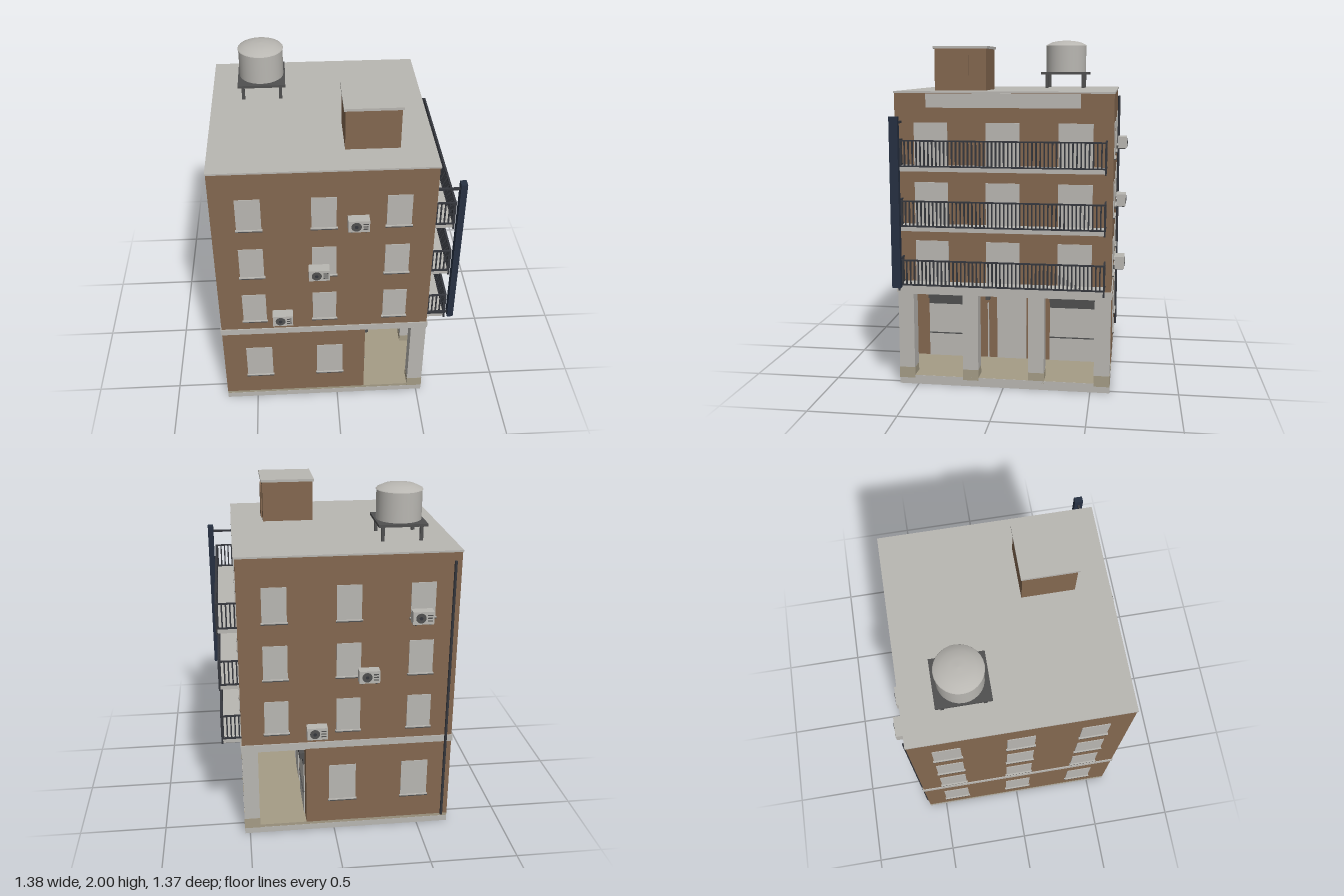
import * as THREE from 'three';

const mat = (name, color) => {
  const m = new THREE.MeshStandardMaterial({ color });
  m.name = name;
  return m;
};

export function createModel() {
  const brick = mat('brick', 0x846850);
  const plaster = mat('plaster', 0xb9b7b2);
  const sand = mat('sand tile', 0xa59c86);
  const dark = mat('dark metal', 0x505050);
  const railing = mat('railing metal', 0x35373d);
  const navy = mat('navy sign', 0x263042);

  const model = new THREE.Group();
  model.name = 'building';

  const group = (name, parent = model) => {
    const g = new THREE.Group();
    g.name = name;
    parent.add(g);
    return g;
  };
  // Box given by its limits on each axis
  const box = (name, m, [x0, x1], [y0, y1], [z0, z1], parent = model) => {
    const mesh = new THREE.Mesh(new THREE.BoxGeometry(x1 - x0, y1 - y0, z1 - z0), m);
    mesh.position.set((x0 + x1) / 2, (y0 + y1) / 2, (z0 + z1) / 2);
    mesh.name = name;
    parent.add(mesh);
    return mesh;
  };
  const cyl = (name, m, r, h, [x, y, z], parent = model, sides = 16) => {
    const mesh = new THREE.Mesh(new THREE.CylinderGeometry(r, r, h, sides), m);
    mesh.position.set(x, y, z);
    mesh.name = name;
    parent.add(mesh);
    return mesh;
  };

  const X0 = -0.685, X1 = 0.53, Z = 0.61, SHOP = 0.165;

  // Main masses
  box('plinth', plaster, [X0, X1], [0, 0.036], [-Z, Z]);
  box('arcadeFloor', sand, [X0, X1 - 0.001], [0.036, 0.053], [-Z + 0.001, Z - 0.001]);
  box('plinthEdge', plaster, [X1 - 0.001, X1 + 0.001], [0.036, 0.053], [-0.52, 0.52]);
  box('groundFloor', brick, [X0, SHOP], [0.053, 0.55], [-Z, Z]);
  box('cornice', plaster, [X0 - 0.006, X1 + 0.006], [0.55, 0.59], [-Z - 0.006, Z + 0.006]);
  box('ceiling', plaster, [SHOP, X1], [0.542, 0.55], [-Z, Z]);
  box('upperFloors', brick, [X0, X1], [0.59, 1.69], [-Z, Z]);
  box('roofSlab', plaster, [X0 - 0.004, X1 + 0.006], [1.69, 1.7], [-Z - 0.004, Z + 0.004]);
  box('nameBand', plaster, [X1, X1 + 0.008], [1.61, 1.688], [-0.43, 0.43]);

  // Arcade columns with tiled feet
  for (const z of [-0.565, -0.19, 0.19, 0.565]) {
    box('column', plaster, [0.44, X1], [0.1, 0.542], [z - 0.045, z + 0.045]);
    box('columnFoot', sand, [0.439, X1 + 0.001], [0.036, 0.1], [z - 0.046, z + 0.046]);
  }

  // Windows with sills; s is the side of the wall
  const windowZ = (x0, x1, y0, y1, s) => {
    const a = s * Z, span = (d) => [Math.min(a, a + s * d), Math.max(a, a + s * d)];
    box('window', plaster, [x0, x1], [y0, y1], span(0.004));
    box('sill', dark, [x0 - 0.006, x1 + 0.006], [y0 - 0.006, y0], span(0.012));
    box('sillTop', plaster, [x0 - 0.006, x1 + 0.006], [y0, y0 + 0.006], span(0.012));
  };
  const windowLeft = (z, w, y0, y1) => {
    box('window', plaster, [X0 - 0.004, X0], [y0, y1], [z - w, z + w]);
    box('sill', dark, [X0 - 0.012, X0], [y0 - 0.006, y0], [z - w - 0.006, z + w + 0.006]);
    box('sillTop', plaster, [X0 - 0.012, X0], [y0, y0 + 0.006], [z - w - 0.006, z + w + 0.006]);
  };
  const floors = [0, 1, 2].map((i) => 0.655 + i * 0.335);
  for (const s of [-1, 1]) {
    for (const y of floors)
      for (const x of [-0.482, -0.077, 0.33]) windowZ(x - 0.068, x + 0.068, y, y + 0.203, s);
    for (const x of [-0.472, -0.047]) windowZ(x - 0.078, x + 0.078, 0.2, 0.43, s);
  }
  for (const z of [-0.41, 0, 0.41]) {
    for (const y of floors) windowLeft(z, 0.078, y, y + 0.203);
    windowLeft(z, 0.078, 0.2, 0.43);
  }

  // Shop fronts, entrance, lamps and ceiling lights under the arcade
  for (const z of [-0.375, 0.375]) {
    const shop = group('shopFront');
    box('shutter', plaster, [SHOP, SHOP + 0.006], [0.053, 0.39], [z - 0.14, z + 0.14], shop);
    box('shutterBar', dark, [SHOP, SHOP + 0.012], [0.196, 0.202], [z - 0.14, z + 0.14], shop);
    box('shutterGuide', dark, [SHOP, SHOP + 0.01], [0.386, 0.425], [z - 0.14, z + 0.14], shop);
    box('shutterBox', dark, [SHOP, SHOP + 0.03], [0.425, 0.465], [z - 0.14, z + 0.14], shop);
  }
  box('entranceDoor', plaster, [SHOP, SHOP + 0.006], [0.053, 0.465], [-0.09, 0.09]);
  for (const z of [-0.145, 0.145]) {
    box('wallLamp', dark, [SHOP, SHOP + 0.03], [0.425, 0.465], [z - 0.012, z + 0.012]);
    box('doorPost', plaster, [SHOP, SHOP + 0.006], [0.053, 0.4], [z - 0.004, z + 0.004]);
  }
  for (const z of [-0.38, 0, 0.38]) cyl('ceilingLight', dark, 0.02, 0.012, [0.348, 0.536, z]);

  // Balconies with doors and railings
  const BX = 0.638, BZ = 0.572, bar = 0.004;
  for (const y of floors) {
    const b = group('balcony'), floor = y - 0.035, top = floor + 0.148;
    for (const z of [-0.405, 0, 0.405])
      box('balconyDoor', plaster, [X1, X1 + 0.005], [floor, y + 0.203], [z - 0.095, z + 0.095], b);
    box('slab', plaster, [X1, BX - 0.004], [floor - 0.025, floor], [-BZ, BZ], b);
    box('bottomRail', railing, [BX - 0.006, BX + 0.004], [floor, floor + 0.008], [-BZ, BZ], b);
    box('topRail', railing, [BX - 0.007, BX + 0.005], [top - 0.008, top], [-BZ, BZ], b);
    const n = 52;
    for (let i = 0; i <= n; i++) {
      const z = -BZ + (2 * BZ * i) / n;
      box('baluster', railing, [BX - bar, BX + bar], [floor, top], [z - bar, z + bar], b);
    }
    for (const z of [-BZ, BZ]) {
      box('sideTopRail', railing, [X1, BX], [top - 0.008, top], [z - 0.005, z + 0.005], b);
      box('sideBottomRail', railing, [X1, BX], [floor, floor + 0.008], [z - 0.005, z + 0.005], b);
      for (let i = 0; i < 5; i++) {
        const x = X1 + 0.01 + i * 0.0225;
        box('sideBaluster', railing, [x - bar, x + bar], [floor, top], [z - bar, z + bar], b);
      }
      box('railPost', railing, [BX - 0.005, BX + 0.005], [floor - 0.03, top], [z - 0.005, z + 0.005], b);
    }
  }

  // Upright sign on brackets
  const sign = group('sign');
  box('signPanel', navy, [0.652, 0.687], [0.615, 1.567], [0.552, 0.6], sign);
  for (const y of [0.635, 1.53])
    box('signBracket', railing, [X1, 0.652], [y - 0.006, y + 0.006], [0.57, 0.582], sign);

  // Air conditioners
  const airConditioner = (x, y, s) => {
    const g = group('airConditioner');
    box('casing', plaster, [-0.058, 0.058], [-0.036, 0.036], [0.01, 0.068], g);
    const fan = cyl('fan', dark, 0.028, 0.004, [-0.014, 0, 0.069], g, 20);
    fan.rotation.x = Math.PI / 2;
    const hub = cyl('fanHub', railing, 0.01, 0.004, [-0.014, 0, 0.071], g, 12);
    hub.rotation.x = Math.PI / 2;
    for (const v of [-0.016, 0, 0.016])
      box('slat', dark, [0.022, 0.05], [v - 0.003, v + 0.003], [0.067, 0.07], g);
    for (const u of [-0.04, 0.04]) {
      box('bracketArm', dark, [u - 0.004, u + 0.004], [-0.044, -0.036], [0, 0.06], g);
      box('bracketLeg', dark, [u - 0.004, u + 0.004], [-0.06, -0.036], [0, 0.01], g);
    }
    g.position.set(x, y, s * Z);
    if (s < 0) g.rotation.y = Math.PI;
  };
  [[0.107, 1.375], [-0.108, 1.04], [-0.32, 0.705]].forEach(([x, y]) => airConditioner(x, y, 1));
  [[-0.472, 1.345], [-0.185, 1.01], [0.105, 0.675]].forEach(([x, y]) => airConditioner(x, y, -1));

  // Drainpipe on the back wall
  cyl('drainpipe', railing, 0.008, 1.59, [-0.648, 0.848, -0.62], model, 10);

  // Stair house on the roof
  const stair = group('stairHouse');
  box('stairWalls', brick, [0.047, 0.345], [1.7, 1.935], [0.122, 0.42], stair);
  box('stairRoof', plaster, [0.038, 0.354], [1.935, 1.95], [0.113, 0.429], stair);
  box('stairDoor', brick, [0.345, 0.353], [1.7, 1.9], [0.22, 0.32], stair);

  // Water tank on its stand
  const tank = group('waterTank');
  tank.position.set(-0.397, 1.7, -0.278);
  box('platform', dark, [-0.137, 0.137], [0.085, 0.1], [-0.15, 0.15], tank);
  for (const x of [-0.108, 0.108])
    for (const z of [-0.115, 0.115])
      box('standLeg', dark, [x - 0.009, x + 0.009], [0, 0.085], [z - 0.009, z + 0.009], tank);
  cyl('tankBody', plaster, 0.128, 0.168, [0, 0.184, 0], tank, 28);
  const dome = [[0.132, 0.266], [0.128, 0.272], [0.09, 0.29], [0.045, 0.298], [0, 0.3]];
  const lid = new THREE.Mesh(
    new THREE.LatheGeometry(dome.map(([r, y]) => new THREE.Vector2(r, y)), 28), plaster);
  lid.name = 'tankLid';
  tank.add(lid);

  return model;
}
